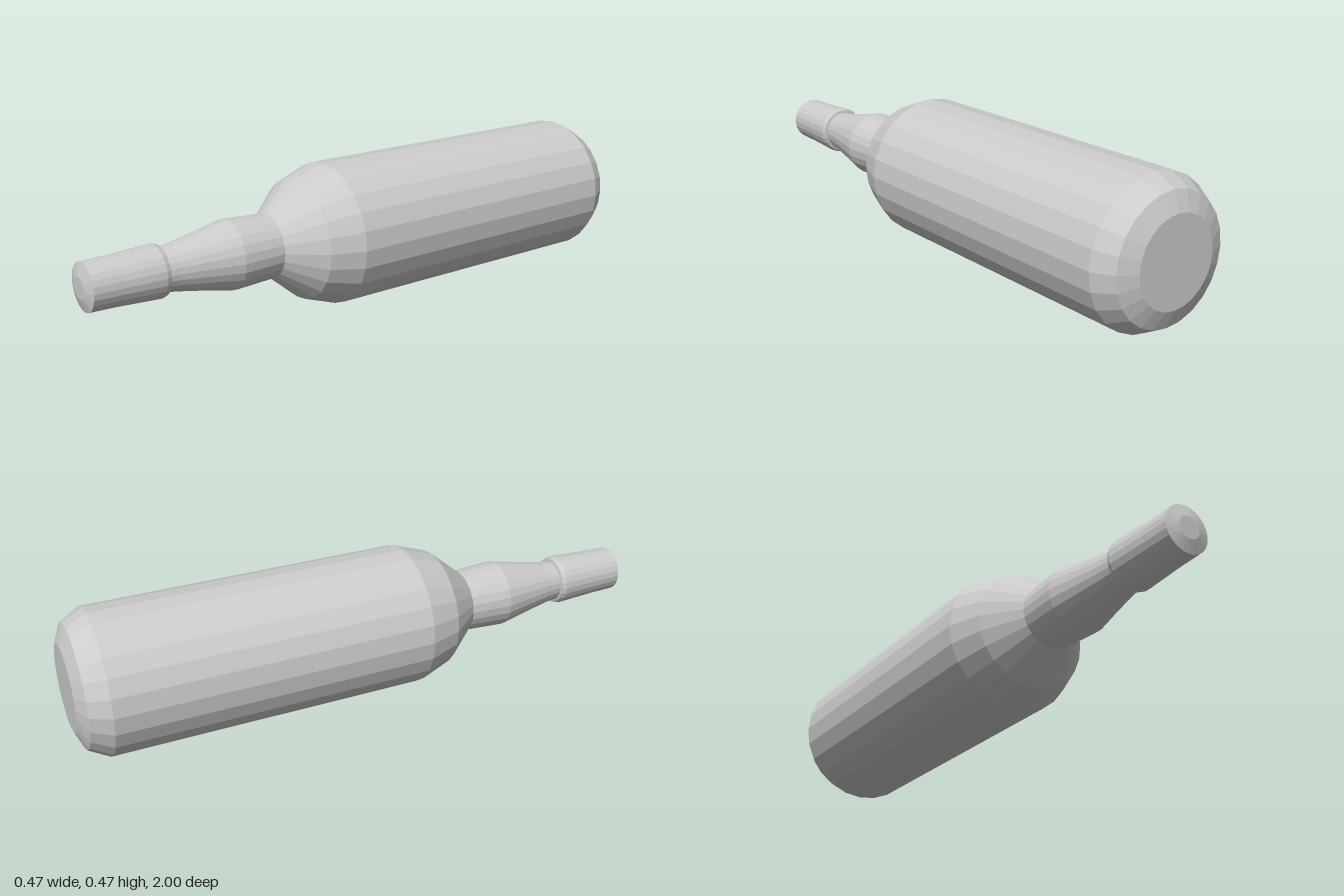
import * as THREE from 'three';

const SIDES = 24;
const AXIS_HEIGHT = 0.236;

// Lathe part lying along z; profile is [radius, z] from back to front
function turned(name, profile, material) {
  const points = profile.map(([r, z]) => new THREE.Vector2(r, z));
  const geometry = new THREE.LatheGeometry(points, SIDES);
  geometry.rotateX(Math.PI / 2);
  const mesh = new THREE.Mesh(geometry, material);
  mesh.name = name;
  return mesh;
}

export function createModel() {
  const group = new THREE.Group();
  group.name = 'bottle';
  const material = new THREE.MeshStandardMaterial({ color: 0xcccccc, flatShading: true });

  // Bevelled base, straight body and rounded shoulder
  const body = turned('body', [
    [0, -1], [0.14, -1], [0.2, -0.975], [0.236, -0.91],
    [0.236, 0.145], [0.198, 0.255], [0.105, 0.365],
  ], material);

  // Bulging neck
  const neck = turned('neck', [
    [0.105, 0.365], [0.113, 0.51], [0.093, 0.605], [0.074, 0.705], [0.069, 0.75],
  ], material);

  // Tapered stopper with a bevelled collar and slightly domed end
  const cap = turned('cap', [
    [0.068, 0.742], [0.08, 0.745], [0.085, 0.76], [0.078, 0.9],
    [0.076, 0.988], [0.036, 1], [0, 1],
  ], material);

  group.add(body, neck, cap);
  group.position.y = AXIS_HEIGHT;
  const root = new THREE.Group();
  root.add(group);
  return root;
}
